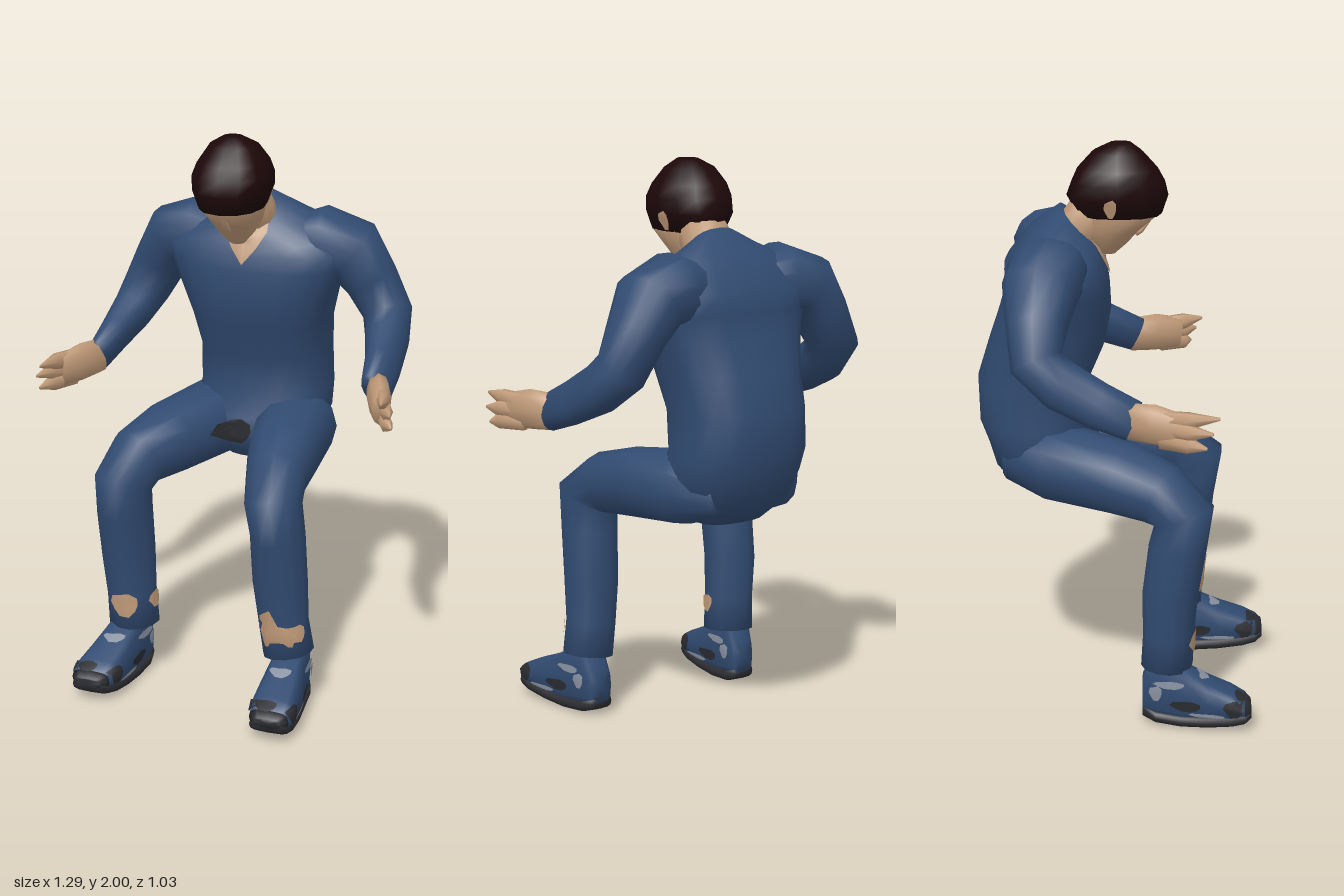
import * as THREE from 'three';

const mat = (name, color) => Object.assign(new THREE.MeshStandardMaterial({ color }), { name });
const V3 = (x, y, z) => new THREE.Vector3(x, y, z);

export function createModel() {
  const suit = mat('blue cloth', 0x314b71);
  const skin = mat('skin', 0xc09a78);
  const hair = mat('dark hair', 0x1d0709);
  const sole = mat('dark rubber', 0x2b2c31);
  const trim = mat('grey trim', 0x8991a0);
  const model = new THREE.Group();

  const add = (name, geometry, material) => {
    const mesh = new THREE.Mesh(geometry, material);
    mesh.name = name;
    model.add(mesh);
    return mesh;
  };

  // Closed skin through rings {c, u, v}; p below 1 makes them boxier
  function loft(rings, sides = 12, p = 0.9) {
    const pos = [], idx = [];
    const power = (t) => Math.sign(t) * Math.abs(t) ** p;
    for (const { c, u, v } of rings) {
      for (let i = 0; i < sides; i++) {
        const a = (i / sides) * Math.PI * 2;
        const q = c.clone().addScaledVector(u, power(Math.cos(a))).addScaledVector(v, power(Math.sin(a)));
        pos.push(q.x, q.y, q.z);
      }
    }
    const n = rings.length, first = n * sides, last = first + 1;
    for (const r of [rings[0], rings[n - 1]]) pos.push(r.c.x, r.c.y, r.c.z);
    for (let i = 0; i < sides; i++) {
      const j = (i + 1) % sides, top = (n - 1) * sides;
      for (let k = 0; k < n - 1; k++) {
        const a = k * sides, b = a + sides;
        idx.push(a + i, a + j, b + j, a + i, b + j, b + i);
      }
      idx.push(first, j, i, last, top + i, top + j);
    }
    const g = new THREE.BufferGeometry();
    g.setAttribute('position', new THREE.Float32BufferAttribute(pos, 3));
    g.setIndex(idx);
    g.computeVertexNormals();
    return g;
  }

  // Limb: rings [x, y, z, half width, half depth] square to the path;
  // the width direction starts at ref and is carried along the path
  function limb(points, sides, ref = V3(1, 0, 0)) {
    const c = points.map(([x, y, z]) => V3(x, y, z));
    let u = ref;
    return loft(points.map(([, , , a, b], i) => {
      const t = c[Math.min(i + 1, c.length - 1)].clone().sub(c[Math.max(i - 1, 0)]).normalize();
      u = u.clone().addScaledVector(t, -t.dot(u)).normalize();
      return { c: c[i], u: u.clone().multiplyScalar(a), v: t.clone().cross(u).multiplyScalar(b) };
    }), sides);
  }

  // Stack: level rings [y, half width, z front, z back, slope up to the back]
  const stack = (rows, x = 0, sides = 16, p = 0.9) => loft(rows.map(([y, w, zf, zb, t = 0]) => {
    const d = (zf - zb) / 2;
    return { c: V3(x, y, (zf + zb) / 2), u: V3(w, 0, 0), v: V3(0, t * d, -d) };
  }), sides, p);

  // Thin patch laid on a surface, seen along n; outline is counterclockwise
  const ray = new THREE.Raycaster();
  function patch(name, targets, n, outline, material) {
    const u = V3(0, 1, 0).cross(n), count = outline.length;
    const mid = outline.reduce((m, q) => [m[0] + q[0] / count, m[1] + q[1] / count], [0, 0]);
    const cast = (a, b) => {
      const o = u.clone().multiplyScalar(a).addScaledVector(n, 2);
      o.y += b;
      ray.set(o, n.clone().negate());
      const hit = ray.intersectObjects(targets)[0];
      return hit ? hit.point.addScaledVector(n, 0.007) : null;
    };
    const centre = cast(...mid);
    if (!centre) return;
    const pts = [centre], idx = [], steps = 3;
    for (let s = 1; s <= steps; s++) outline.forEach(([a, b], i) => {
      const f = s / steps;
      pts.push(cast(mid[0] + (a - mid[0]) * f, mid[1] + (b - mid[1]) * f) || pts[Math.max(0, pts.length - count)]);
      const j = (i + 1) % count, o = 1 + (s - 1) * count, q = o - count;
      if (s === 1) idx.push(0, o + i, o + j);
      else idx.push(q + i, o + i, o + j, q + i, o + j, q + j);
    });
    const g = new THREE.BufferGeometry().setFromPoints(pts);
    g.setIndex(idx);
    g.computeVertexNormals();
    add(name, g, material);
  }
  const blob = (a, b, ra, rb) => Array.from({ length: 10 }, (_, i) => {
    const t = (i / 10) * Math.PI * 2, k = i % 3 ? 1 : 0.82;
    return [a + Math.cos(t) * ra * k, b + Math.sin(t) * rb * k];
  });
  const front = V3(0, 0, 1);

  // Torso and pelvis, leaning forward
  const torso = add('torso', stack([
    [0.775, 0.13, -0.17, -0.36], [0.86, 0.215, -0.09, -0.455], [0.95, 0.245, -0.09, -0.48],
    [1.03, 0.24, -0.14, -0.51], [1.17, 0.235, -0.12, -0.515], [1.3, 0.25, -0.065, -0.475],
    [1.42, 0.285, -0.045, -0.435], [1.51, 0.32, -0.05, -0.41], [1.575, 0.34, -0.06, -0.415, 0.05],
    [1.645, 0.27, -0.075, -0.33, 0.4], [1.71, 0.095, -0.085, -0.225, 1.0],
  ], 0, 20, 0.78), suit);
  patch('neckOpening', [torso], front,
    [[-0.005, 1.535], [0.04, 1.59], [0.075, 1.65], [0.07, 1.69], [-0.08, 1.69], [-0.085, 1.65], [-0.05, 1.59]], skin);

  // Head, bowed forward
  add('neck', limb([[0, 1.6, -0.22, 0.08, 0.065], [-0.005, 1.7, -0.155, 0.09, 0.08], [-0.02, 1.8, -0.08, 0.088, 0.085]]), skin);
  add('face', stack([
    [1.615, 0.025, -0.03, -0.08], [1.655, 0.06, 0.015, -0.12], [1.7, 0.088, 0.055, -0.14],
    [1.75, 0.105, 0.115, -0.15], [1.82, 0.11, 0.125, -0.16],
  ], -0.02), skin);
  add('nose', limb([[-0.02, 1.745, 0.095, 0.008, 0.008], [-0.02, 1.695, 0.058, 0.016, 0.01], [-0.02, 1.68, 0.04, 0.01, 0.008]], 6), skin);
  const cap = add('hair', stack([
    [1.755, 0.11, 0.13, -0.165], [1.82, 0.133, 0.152, -0.198], [1.87, 0.138, 0.14, -0.18], [1.915, 0.122, 0.115, -0.16],
    [1.97, 0.085, 0.065, -0.11], [2, 0.035, 0.025, -0.05],
  ], -0.023, 12), hair);

  for (const s of [-1, 1]) {
    const side = s > 0 ? 'left' : 'right';
    const m = (rows) => rows.map(([x, ...r]) => [s * x, ...r]);
    patch(side + 'Ear', [cap], V3(s, 0, 0), blob(s * 0.045, 1.795, 0.024, 0.036), skin);

    // Shoulder running out of the chest into an arm bent at the elbow
    add(side + 'Arm', limb(m([
      [0.05, 1.58, -0.24, 0.07, 0.09], [0.225, 1.59, -0.255, 0.128, 0.138], [0.335, 1.56, -0.275, 0.117, 0.13],
      [0.4, 1.46, -0.285, 0.095, 0.105], [0.462, 1.345, -0.285, 0.087, 0.09], [0.487, 1.275, -0.2, 0.073, 0.088],
      [0.508, 1.215, -0.08, 0.056, 0.08], [0.521, 1.165, 0.04, 0.044, 0.07],
    ]), 14, V3(0, 1, 0)), suit);

    // Hand with spread fingers
    add(side + 'Palm', limb(m([
      [0.521, 1.165, 0.02, 0.038, 0.064], [0.555, 1.165, 0.11, 0.042, 0.07], [0.59, 1.155, 0.2, 0.03, 0.058],
    ]), 8), skin);
    const reach = s > 0 ? -0.035 : 0;
    [[1.185, 0.615, 1.205, 0.322], [1.155, 0.64, 1.16, 0.3], [1.12, 0.64, 1.11, 0.28]]
      .forEach(([y, tx, ty, tz], i) => add(side + 'Finger' + (i + 1), limb(m([
        [0.57, y, 0.13, 0.024, 0.034], [(0.59 + tx) / 2, (y + ty) / 2, 0.22, 0.022, 0.03], [tx, ty, tz + reach, 0.004, 0.005],
      ]), 6), skin));
  }

  // Seated legs, the left knee and shin further forward
  const rightLeg = add('rightLeg', limb([
    [-0.11, 0.9, -0.4, 0.08, 0.08], [-0.16, 0.9, -0.24, 0.15, 0.132], [-0.265, 0.875, 0, 0.135, 0.125],
    [-0.33, 0.84, 0.13, 0.108, 0.11], [-0.355, 0.77, 0.21, 0.1, 0.108], [-0.36, 0.66, 0.19, 0.097, 0.1],
    [-0.358, 0.48, 0.165, 0.095, 0.096], [-0.35, 0.33, 0.16, 0.09, 0.087], [-0.345, 0.21, 0.155, 0.093, 0.088],
  ]), suit);
  const leftLeg = add('leftLeg', limb([
    [0.11, 0.9, -0.4, 0.08, 0.08], [0.14, 0.9, -0.24, 0.148, 0.132], [0.175, 0.875, 0, 0.13, 0.125],
    [0.205, 0.845, 0.165, 0.107, 0.112], [0.225, 0.785, 0.25, 0.102, 0.114], [0.235, 0.66, 0.23, 0.098, 0.1],
    [0.24, 0.48, 0.215, 0.098, 0.095], [0.25, 0.33, 0.205, 0.09, 0.087], [0.268, 0.21, 0.2, 0.092, 0.087],
  ]), suit);
  patch('rightShinPatch', [rightLeg], front, blob(-0.345, 0.305, 0.06, 0.05), skin);
  patch('rightShinInnerPatch', [rightLeg], V3(1, 0, 0), blob(-0.17, 0.315, 0.035, 0.035), skin);
  patch('leftShinPatch', [leftLeg], front,
    [[0.17, 0.3], [0.21, 0.25], [0.31, 0.26], [0.325, 0.32], [0.26, 0.34], [0.23, 0.4], [0.19, 0.37]], skin);
  patch('leftShinOuterPatch', [leftLeg], V3(1, 0, 0), blob(-0.265, 0.31, 0.028, 0.035), skin);
  patch('crotchPatch', [torso, rightLeg, leftLeg], front, blob(-0.04, 0.9, 0.07, 0.05), sole);

  // Shoes: cloth upper, dark toe, sole and panels, grey trim
  function shoe(side, heelX, toeX, heelZ, length) {
    const rows = [
      [0, 0.045, 0.025, 0.17], [0.12, 0.06, 0.008, 0.25], [0.35, 0.065, 0, 0.225], [0.6, 0.076, 0.008, 0.175],
      [0.82, 0.08, 0.02, 0.14], [0.94, 0.072, 0.03, 0.115], [1, 0.05, 0.045, 0.095],
    ];
    const build = (list, low, high, grow) => loft(list.map(([f, w, y0, y1]) => {
      const a = low(y0), b = high(y0, y1);
      return {
        c: V3(heelX + (toeX - heelX) * f, (a + b) / 2, heelZ + length * f),
        u: V3(w + grow, 0, 0), v: V3(0, (b - a) / 2, 0),
      };
    }), 12, 0.6);
    const upper = add(side + 'Shoe', build(rows.slice(0, 6), (y) => y + 0.02, (y, t) => t, 0), suit);
    add(side + 'Toe', build(rows.slice(5), (y) => y + 0.015, (y, t) => t, 0.001), sole);
    add(side + 'Sole', build(rows, (y) => y, (y) => y + 0.045, 0.001), sole);
    for (const d of [-1, 1]) {
      const z = (f) => -d * (heelZ + length * f);
      patch(side + 'ShoeTrim', [upper], V3(d, 0, 0), blob(z(0.25), 0.165, 0.06, 0.015), trim);
      patch(side + 'HeelTrim', [upper], V3(d, 0, 0), blob(z(0.12), 0.13, 0.025, 0.03), trim);
      patch(side + 'SideLine', [upper], V3(d, 0, 0), blob(z(0.6), 0.06, 0.07, 0.01), trim);
      patch(side + 'SidePanel', [upper], V3(d, 0, 0), blob(z(0.4), 0.09, 0.06, 0.022), sole);
      patch(side + 'ToePanel', [upper], V3(d, 0, 0), blob(z(0.84), 0.095, 0.04, 0.034), sole);
    }
    patch(side + 'ToeTop', [upper], front, blob(toeX - 0.02, 0.125, 0.048, 0.012), sole);
    patch(side + 'Tongue', [upper], front, blob(heelX + (toeX - heelX) * 0.4, 0.185, 0.045, 0.01), trim);
  }
  shoe('right', -0.35, -0.405, 0.07, 0.38);
  shoe('left', 0.275, 0.3, 0.11, 0.407);

  return model;
}
